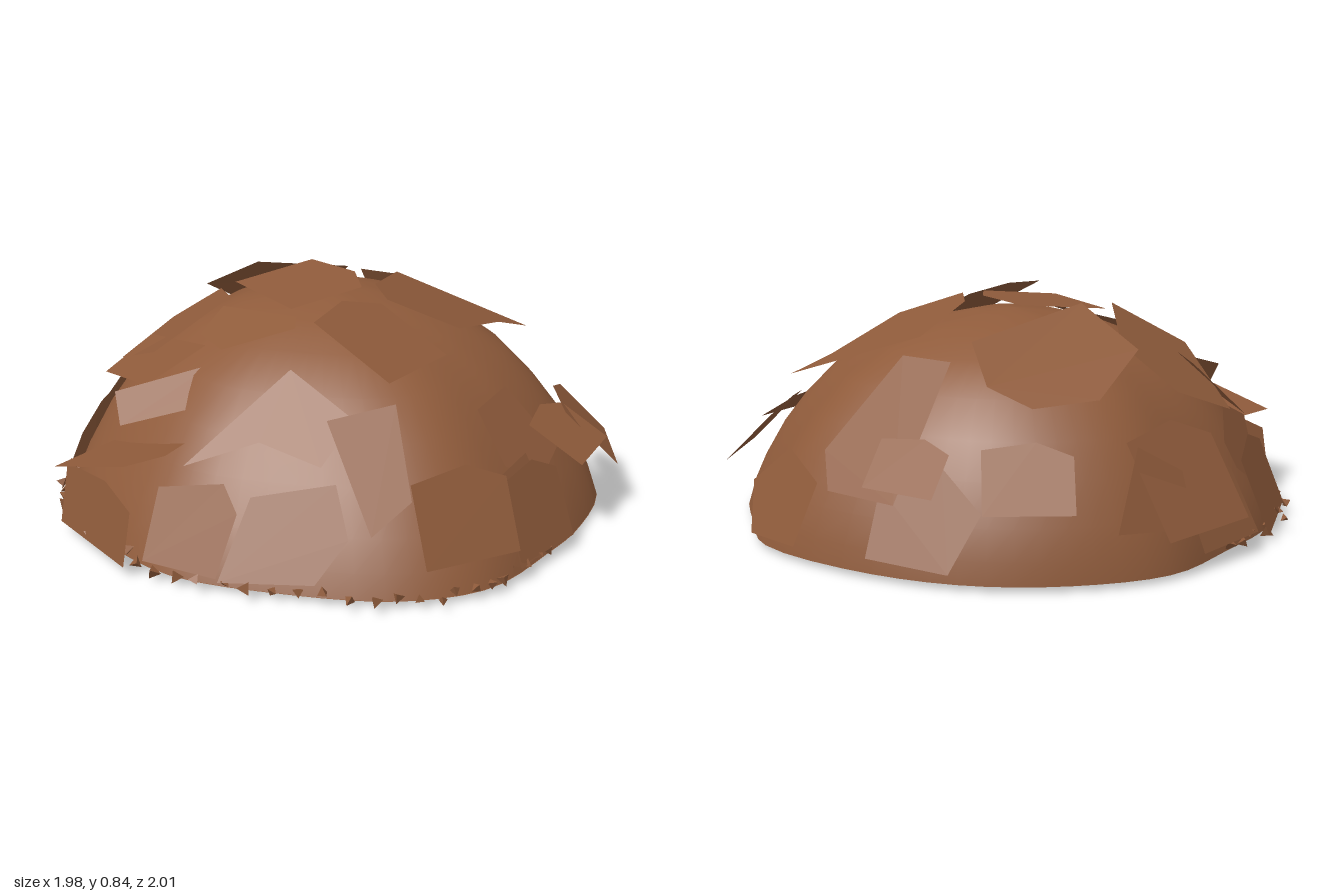
import * as THREE from 'three';

const SEG = 64;

// Footprint of the mound as [x, z], from +x round towards +z
const OUTLINE = [
  [0.97, 0], [0.94, 0.35], [0.75, 0.6], [0.4, 0.79], [0, 0.91], [-0.4, 0.83], [-0.7, 0.66],
  [-0.87, 0.4], [-0.93, 0.05], [-0.95, -0.27], [-0.8, -0.56], [-0.55, -0.8], [-0.2, -0.95],
  [0.28, -0.99], [0.53, -0.85], [0.85, -0.6], [0.96, -0.25],
];
// Dome profile as [share of footprint, height]
const PROFILE = [
  [1, 0.02], [0.975, 0.1], [0.93, 0.2], [0.85, 0.34], [0.76, 0.46], [0.645, 0.58],
  [0.49, 0.68], [0.32, 0.745], [0.15, 0.785], [0.001, 0.795],
];

function moundGeometry(rim) {
  const pos = [], idx = [];
  PROFILE.forEach(([r, y], j) => {
    const t = y / 0.8;
    for (let i = 0; i < SEG; i++) {
      // the crest leans to the back and right
      pos.push(rim[i].x * r - 0.07 * t, y, rim[i].z * r - 0.09 * t);
      if (j < PROFILE.length - 1) {
        const p = j * SEG + i, q = j * SEG + ((i + 1) % SEG);
        idx.push(p, p + SEG, q, q, p + SEG, q + SEG);
      }
    }
  });
  const g = new THREE.BufferGeometry();
  g.setAttribute('position', new THREE.Float32BufferAttribute(pos, 3));
  g.setIndex(idx);
  g.computeVertexNormals();
  return g;
}

// Flat polygon from its corners
function polygon(points) {
  const pos = [];
  for (let i = 1; i < points.length - 1; i++) {
    for (const p of [points[0], points[i], points[i + 1]]) pos.push(p.x, p.y, p.z);
  }
  const g = new THREE.BufferGeometry();
  g.setAttribute('position', new THREE.Float32BufferAttribute(pos, 3));
  g.computeVertexNormals();
  return g;
}

// Slabs seen from above, corners as [x, z]
const TOP = [
  [[-0.4, -0.58], [-0.25, -0.5], [-0.37, -0.07], [-0.63, -0.07], [-0.67, -0.32], [-0.55, -0.52]],
  [[-0.05, -0.55], [0.45, -0.72], [0.42, -0.55], [0.49, -0.15], [0.25, -0.04], [0.1, -0.18]],
  [[-0.75, 0], [-0.54, -0.05], [-0.26, 0.23], [-0.4, 0.5], [-0.78, 0.27]],
  [[-0.28, -0.9], [0, -0.94], [0.08, -0.88], [-0.08, -0.66], [-0.28, -0.63]],
  [[-0.32, 0.2], [0.02, 0.2], [0.06, 0.26], [-0.15, 0.42], [-0.3, 0.36]],
  [[0.52, 0.3], [0.69, 0.45], [0.63, 0.6], [0.36, 0.48]],
];
// Slabs seen from the front or back, corners as [x, y]
const FRONT = [
  [[0.2, 0.04], [0.22, 0.3], [0.47, 0.36], [0.56, 0.2], [0.5, 0.06]],
  [[0.15, 0.65], [0.43, 0.53], [0.4, 0.4], [0.17, 0.45], [-0.03, 0.37]],
  [[-0.1, 0.05], [-0.12, 0.28], [0.12, 0.33], [0.2, 0.25], [0.19, 0.05]],
];
const BACK = [
  [[-0.5, 0.06], [-0.55, 0.25], [-0.38, 0.38], [-0.2, 0.3], [-0.22, 0.08]],
  [[0.1, 0.06], [0.05, 0.28], [0.25, 0.36], [0.42, 0.22], [0.36, 0.05]],
];
// Slabs seen from the model's right or left, corners as [z, y]
const RIGHT = [
  [[0.57, 0.37], [0.35, 0.46], [0.17, 0.37], [0.19, 0.28], [0.38, 0.17]],
  [[0.24, 0.05], [0.2, 0.27], [0.05, 0.37], [-0.12, 0.3], [-0.12, 0.06]],
  [[-0.12, 0.33], [-0.28, 0.43], [-0.48, 0.19], [-0.15, 0.15]],
  [[0.47, 0.69], [0.29, 0.6], [0.36, 0.43], [0.52, 0.5]],
];
const LEFT = [
  [[0.2, 0.04], [0.1, 0.32], [-0.08, 0.34], [-0.1, 0.05]],
  [[-0.28, 0.3], [-0.2, 0.52], [0.02, 0.5], [0.05, 0.33], [-0.1, 0.25]],
];
// Loose slabs standing off the mound: centre, facing and lean-back in degrees, roll, width, height
const LOOSE = [
  ['crestSlab', -0.1, 0.82, -0.02, -21, 84, 0, 0.4, 0.38],
  ['crestSlab', 0.35, 0.75, 0.17, 90, 64, 0, 0.36, 0.39],
  ['frontLedge', -0.28, 0.36, 0.79, -90, 76, 0, 0.3, 0.43],
  ['frontWall', -0.34, 0.165, 0.9, -18, 10, 0, 0.46, 0.25],
  ['frontRidge', -0.17, 0.55, 0.52, 25, 50, 20, 0.6, 0.16],
  ['leftLooseSlab', 0.85, 0.28, 0.37, 62, 25, 0, 0.36, 0.32],
  ['leftLooseSlab', 0.85, 0.36, -0.32, 100, 60, 0, 0.3, 0.26],
  ['leftLooseSlab', 0.93, 0.2, 0.02, 85, 20, 0, 0.32, 0.32],
  ['leftLooseSlab', 0.79, 0.31, -0.57, 125, 45, 0, 0.36, 0.32],
  ['rightLooseSlab', -0.82, 0.19, 0.42, -62, 22, 0, 0.46, 0.32],
  ['rightLooseSlab', -0.87, 0.31, -0.1, -92, 33, 0, 0.42, 0.4],
  ['backLooseSlab', -0.66, 0.37, -0.66, -135, 40, 0, 0.3, 0.26],
  ['backLooseSlab', -0.34, 0.4, -0.89, -170, 38, 0, 0.28, 0.2],
];
const PENTAGON = [[-0.5, -0.5], [0.5, -0.5], [0.5, 0.3], [0.1, 0.5], [-0.5, 0.4]];

export function createModel() {
  const earth = new THREE.MeshStandardMaterial({ color: 0x8f5b3b, side: THREE.DoubleSide });
  earth.name = 'brown earth';
  const model = new THREE.Group();
  model.name = 'earthMound';
  const add = (geometry, name) => {
    const mesh = new THREE.Mesh(geometry, earth);
    mesh.name = name;
    model.add(mesh);
    return mesh;
  };
  const V = (x, y, z) => new THREE.Vector3(x, y, z);

  // Smooth dome
  const curve = new THREE.CatmullRomCurve3(OUTLINE.map(([x, z]) => V(x, 0, z)), true);
  const rim = curve.getPoints(SEG).slice(0, SEG);
  const mound = add(moundGeometry(rim), 'mound');
  mound.updateMatrixWorld(true);

  // Flat underside, slightly sunk in the middle
  const base = [V(0, 0, 0)];
  for (let i = 0; i <= SEG; i++) base.push(rim[i % SEG].clone().setY(0.02));
  add(polygon(base), 'underside');

  // Slabs laid tangent to the dome, found by casting along their own axis
  const caster = new THREE.Raycaster();
  const lay = (list, axis, place, name) => list.forEach((corners) => {
    const points = corners.map(place);
    const centre = points.reduce((s, p) => s.add(p), V(0, 0, 0)).divideScalar(points.length);
    caster.set(centre.addScaledVector(axis, 3), axis.clone().negate());
    const hit = caster.intersectObject(mound)[0];
    if (!hit) return;
    const n = hit.face.normal;
    const origin = hit.point.clone().addScaledVector(n, 0.008);
    points.forEach((p) => {
      p.addScaledVector(axis, n.dot(origin.clone().sub(p)) / n.dot(axis));
      p.y = THREE.MathUtils.clamp(p.y, 0.02, 0.84);
    });
    add(polygon(points), name);
  });
  lay(TOP, V(0, 1, 0), ([x, z]) => V(x, 0, z), 'topSlab');
  lay(FRONT, V(0, 0, 1), ([x, y]) => V(x, y, 0), 'frontSlab');
  lay(BACK, V(0, 0, -1), ([x, y]) => V(x, y, 0), 'backSlab');
  lay(RIGHT, V(-1, 0, 0), ([z, y]) => V(0, y, z), 'rightSlab');
  lay(LEFT, V(1, 0, 0), ([z, y]) => V(0, y, z), 'leftSlab');

  // Loose slabs, each a turned and tilted pentagon
  const rad = THREE.MathUtils.degToRad;
  LOOSE.forEach(([name, x, y, z, facing, lean, roll, w, h]) => {
    const slab = add(polygon(PENTAGON.map(([u, v]) => V(u * w, v * h, 0))), name);
    slab.position.set(x, y, z);
    slab.rotation.set(-rad(lean), rad(facing), rad(roll), 'YXZ');
  });

  // Crumbs scattered round the front of the foot
  let seed = 7;
  const rand = () => (seed = (seed * 16807) % 2147483647) / 2147483647;
  for (let i = 0; i < 40; i++) {
    const p = curve.getPoint((i / 40) * 0.48);
    const s = 1 + rand() * 0.06;
    const crumb = add(new THREE.TetrahedronGeometry(0.018 + rand() * 0.012), 'crumb');
    crumb.position.set(
      THREE.MathUtils.clamp(p.x * s, -0.97, 0.97), 0.035 + rand() * 0.02,
      THREE.MathUtils.clamp(p.z * s, -0.97, 0.97));
    crumb.rotation.set(rand() * 6, rand() * 6, rand() * 6);
  }
  return model;
}
